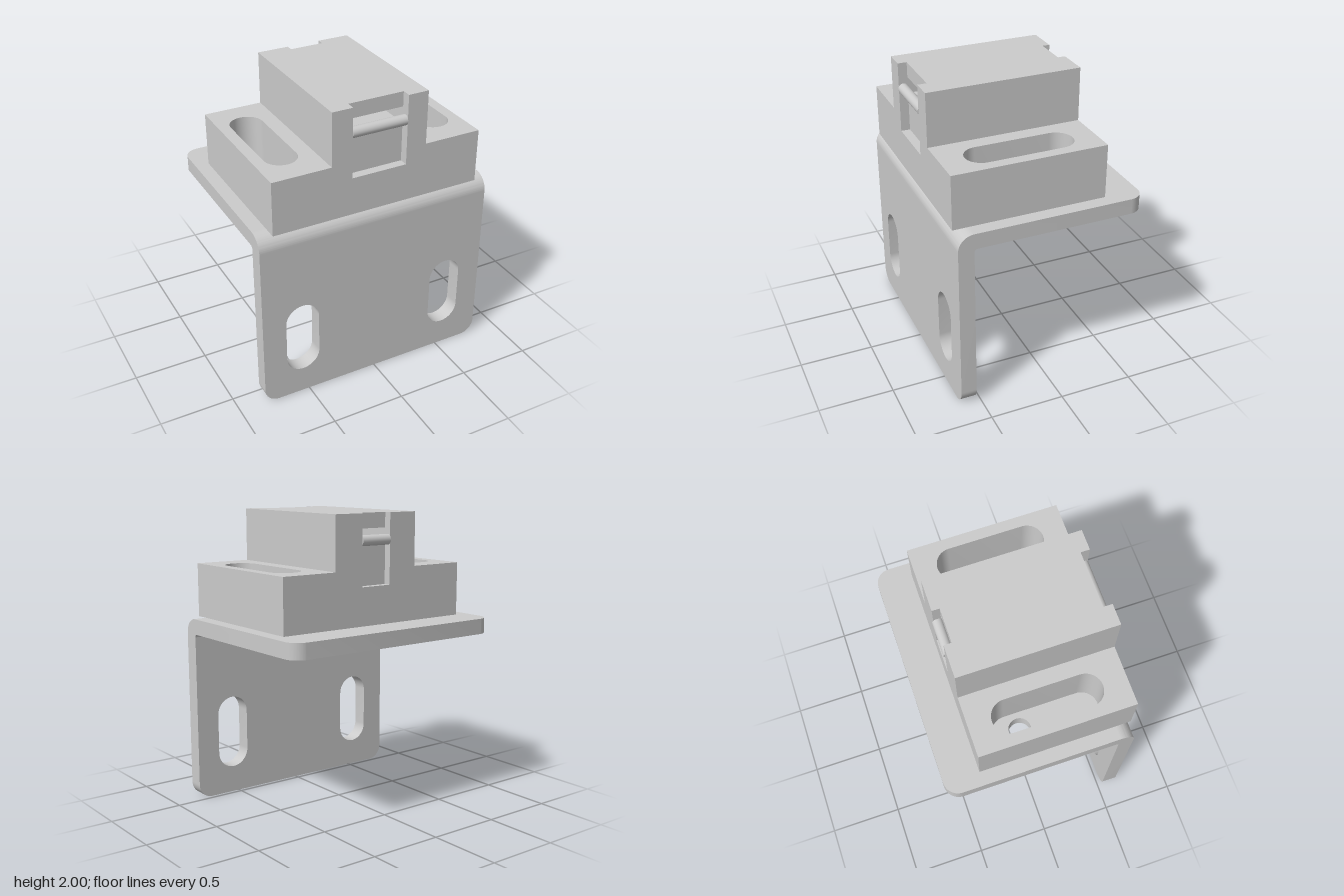
import * as THREE from 'three';
import { toCreasedNormals } from 'three/addons/utils/BufferGeometryUtils.js';

const material = new THREE.MeshStandardMaterial({ color: 0xcccccc });
const W = 0.82, FRONT = 0.635, BACK = -0.395, DECK = 1.275;

function part(name, geometry, parent) {
  const mesh = new THREE.Mesh(geometry, material);
  mesh.name = name;
  parent.add(mesh);
  return mesh;
}

function extrude(shape, depth) {
  const g = new THREE.ExtrudeGeometry(shape, { depth, bevelEnabled: false, curveSegments: 16 });
  return toCreasedNormals(g, 0.6);
}

// Outline in x/y, running from z0 to z1
const alongZ = (shape, z0, z1) => extrude(shape, z1 - z0).translate(0, 0, z0);
// Outline in x/-z, running from y0 to y1
const alongY = (shape, y0, y1) => extrude(shape, y1 - y0).rotateX(-Math.PI / 2).translate(0, y0, 0);

function polygon(points) {
  return new THREE.Shape(points.map(([x, y]) => new THREE.Vector2(x, y)));
}

function rect(x0, y0, x1, y1) {
  return polygon([[x0, y0], [x1, y0], [x1, y1], [x0, y1]]);
}

// Upright slot with round ends
function slot(cx, y0, y1, r) {
  const p = new THREE.Path();
  p.absarc(cx, y1 - r, r, 0, Math.PI, false);
  p.absarc(cx, y0 + r, r, Math.PI, Math.PI * 2, false);
  p.closePath();
  return p;
}

// Plate with two rounded corners at one end (yRound) and a straight other end
function plate(yStraight, yRound, r) {
  const s = new THREE.Shape();
  const d = Math.sign(yStraight - yRound);
  s.moveTo(-W, yStraight);
  s.lineTo(-W, yRound + d * r);
  s.absarc(-W + r, yRound + d * r, r, Math.PI, d * 1.5 * Math.PI, d < 0);
  s.absarc(W - r, yRound + d * r, r, -d * Math.PI / 2, 0, d < 0);
  s.lineTo(W, yStraight);
  return s;
}

function createBracket() {
  const bracket = new THREE.Group();
  bracket.name = 'bracket';
  const inZ = 0.53, inY = 1.17, fillet = 0.02;

  // Upright plate with two slots
  const upright = plate(inY - fillet, 0, 0.1);
  for (const x of [-0.54, 0.54]) upright.holes.push(slot(x, 0.185, 0.695, 0.117));
  part('uprightPlate', alongZ(upright, inZ, FRONT), bracket);

  // Deck plate with two round screw holes
  const deck = plate(fillet - inZ, 0.635, 0.1);
  for (const x of [-0.545, 0.545]) {
    const hole = new THREE.Path();
    hole.absarc(x, 0.06, 0.074, 0, Math.PI * 2, false);
    deck.holes.push(hole);
  }
  part('deckPlate', alongY(deck, inY, DECK), bracket);

  // Bend joining the plates, profile in z/y
  const R = 0.105, bend = new THREE.Shape();
  bend.moveTo(inZ, inY - fillet);
  bend.lineTo(FRONT, inY - fillet);
  bend.absarc(FRONT - R, DECK - R, R, 0, Math.PI / 2, false);
  bend.lineTo(inZ - fillet, DECK);
  bend.lineTo(inZ - fillet, inY);
  bend.absarc(inZ - fillet, inY - fillet, fillet, Math.PI / 2, 0, true);
  part('bend', extrude(bend, W * 2).rotateY(-Math.PI / 2).translate(W, 0, 0), bracket);
  return bracket;
}

function createBlock() {
  const block = new THREE.Group();
  block.name = 'mountedBlock';
  const half = 0.33, top = 2, recessY = 1.53;
  const zFront = 0.575, zBack = -0.345;

  // Tower core with a passage from front to back
  const core = rect(-half, DECK, half, top);
  core.holes.push(new THREE.Path(rect(-0.19, 1.79, 0.19, 1.9).getPoints()));
  part('towerCore', alongZ(core, zBack, zFront), block);

  // Notched end walls, each with a cross pin
  const ends = [
    { name: 'front', n: 0.19, z0: zFront, z1: FRONT },
    { name: 'back', n: 0.115, z0: BACK, z1: zBack },
  ];
  for (const { name, n, z0, z1 } of ends) {
    const wall = polygon([[-half, DECK], [half, DECK], [half, top], [n, top],
      [n, recessY], [-n, recessY], [-n, top], [-half, top]]);
    part(name + 'EndWall', alongZ(wall, z0, z1), block);
    const pin = new THREE.CylinderGeometry(0.035, 0.035, n * 2, 24).rotateZ(Math.PI / 2);
    part(name + 'Pin', pin, block).position.set(0, 1.825, (z0 + z1) / 2);
  }

  // Side flanges with long mounting slots
  for (const side of [-1, 1]) {
    const x0 = side > 0 ? half : -0.728;
    const flange = rect(x0, -FRONT, x0 + 0.398, -BACK);
    flange.holes.push(slot(side * 0.543, -0.476, 0.245, 0.11));
    part(side > 0 ? 'leftFlange' : 'rightFlange', alongY(flange, DECK, 1.64), block);
  }
  return block;
}

export function createModel() {
  const model = new THREE.Group();
  model.name = 'bracketWithBlock';
  model.add(createBracket(), createBlock());
  return model;
}
